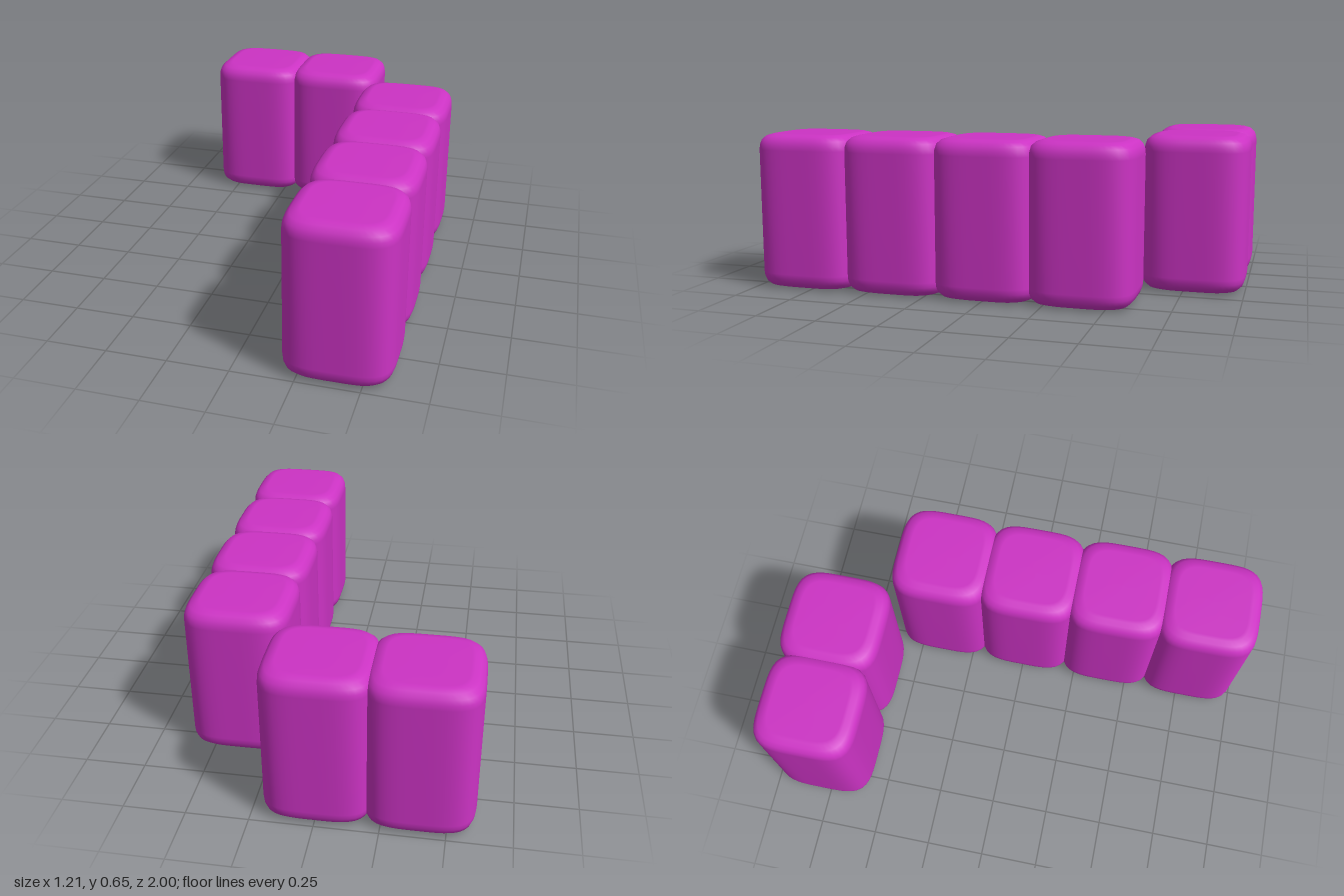
import * as THREE from 'three';
import { mergeVertices } from 'three/addons/utils/BufferGeometryUtils.js';

const HALF = 0.215, HEIGHT = 0.65, PITCH = 0.392;

// Soft square pillar: a bevelled lathe whose round section is pushed out to a superellipse
function pillarGeometry() {
  const bevel = [[0, 0], [0.155, 0], [0.168, 0.002], [0.19, 0.009], [0.206, 0.025], [0.213, 0.045], [HALF, 0.065]];
  const profile = [
    ...bevel.map(([r, y]) => new THREE.Vector2(r, y)),
    ...bevel.slice().reverse().map(([r, y]) => new THREE.Vector2(r, HEIGHT - y)),
  ];
  let geo = new THREE.LatheGeometry(profile, 64);
  const p = geo.attributes.position, n = 4.2;
  for (let i = 0; i < p.count; i++) {
    const x = p.getX(i), z = p.getZ(i), r = Math.hypot(x, z);
    if (r < 1e-6) continue;
    const k = Math.pow(Math.pow(Math.abs(x / r), n) + Math.pow(Math.abs(z / r), n), -1 / n);
    p.setXYZ(i, x * k, p.getY(i), z * k);
  }
  geo.deleteAttribute('uv');
  geo.deleteAttribute('normal');
  geo = mergeVertices(geo, 1e-5);
  geo.computeVertexNormals();
  return geo;
}

export function createModel() {
  const model = new THREE.Group();
  model.name = 'pillarWall';
  const geo = pillarGeometry();
  const material = new THREE.MeshStandardMaterial({ color: 0xcc33c4 });

  const addRow = (name, cells) => {
    const row = new THREE.Group();
    row.name = name;
    cells.forEach(([i, k], index) => {
      const pillar = new THREE.Mesh(geo, material);
      pillar.name = `${name}Pillar${index + 1}`;
      pillar.position.set(i * PITCH, 0, k * PITCH);
      row.add(pillar);
    });
    model.add(row);
  };

  // Long row along the left side, short row across the back
  addRow('sideRow', [[1, 2], [1, 1], [1, 0], [1, -1]]);
  addRow('backRow', [[0, -2], [-1, -2]]);
  return model;
}
